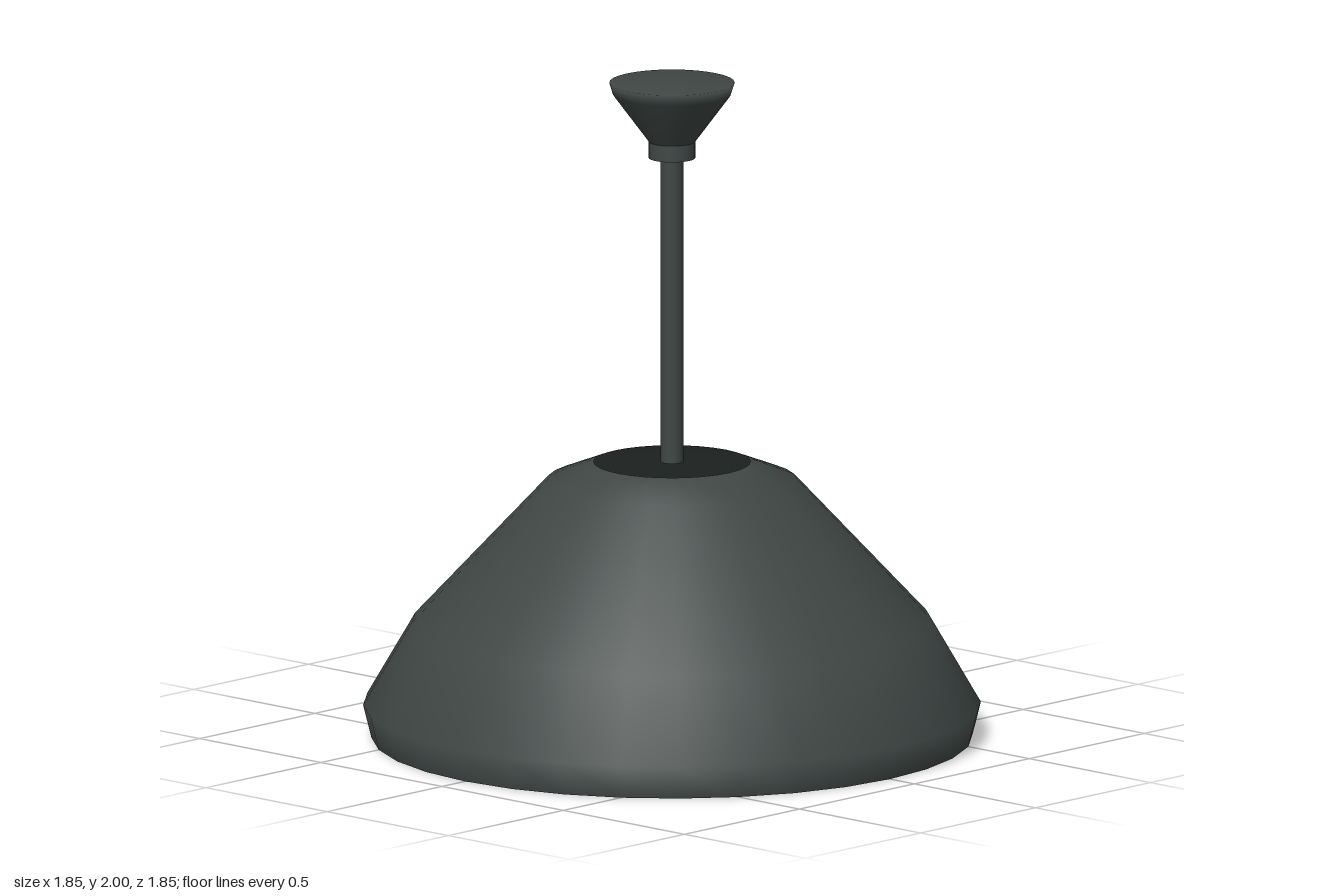
import * as THREE from 'three';

const SEGMENTS = 32;

export function createModel() {
  const lamp = new THREE.Group();
  lamp.name = 'pendantLamp';

  const darkMetal = new THREE.MeshStandardMaterial({ color: 0x3f4745, side: THREE.DoubleSide });
  darkMetal.name = 'dark metal';
  const warmDiffuser = new THREE.MeshStandardMaterial({ color: 0xd2b48c });
  warmDiffuser.name = 'warm diffuser';

  const add = (name, geometry, material, y = 0) => {
    const mesh = new THREE.Mesh(geometry, material);
    mesh.name = name;
    mesh.position.y = y;
    lamp.add(mesh);
  };
  const turned = (points) =>
    new THREE.LatheGeometry(points.map(([r, y]) => new THREE.Vector2(r, y)), SEGMENTS);

  // Open-topped shade, a thin shell
  add('shade', turned([[0.9, 0], [0.925, 0.1], [0.78, 0.35], [0.375, 0.785], [0.235, 0.84]]), darkMetal);

  // Inward lip that holds the diffuser
  add('shadeLip', turned([[0.775, 0.055], [0.9, 0]]), darkMetal);

  // Diffuser disc in the mouth of the shade
  add('diffuser', new THREE.CylinderGeometry(0.78, 0.78, 0.04, SEGMENTS), warmDiffuser, 0.05);

  // Hanging rod
  add('rod', new THREE.CylinderGeometry(0.034, 0.034, 0.96, 16), darkMetal, 1.32);

  // Ceiling mount: collar and flared canopy with a softly shaded top
  add('collar', new THREE.CylinderGeometry(0.07, 0.07, 0.05, SEGMENTS), darkMetal, 1.795);
  add('canopy', turned([[0.062, 1.81], [0.177, 1.965], [0.188, 2], [0, 2]]), darkMetal);

  return lamp;
}
